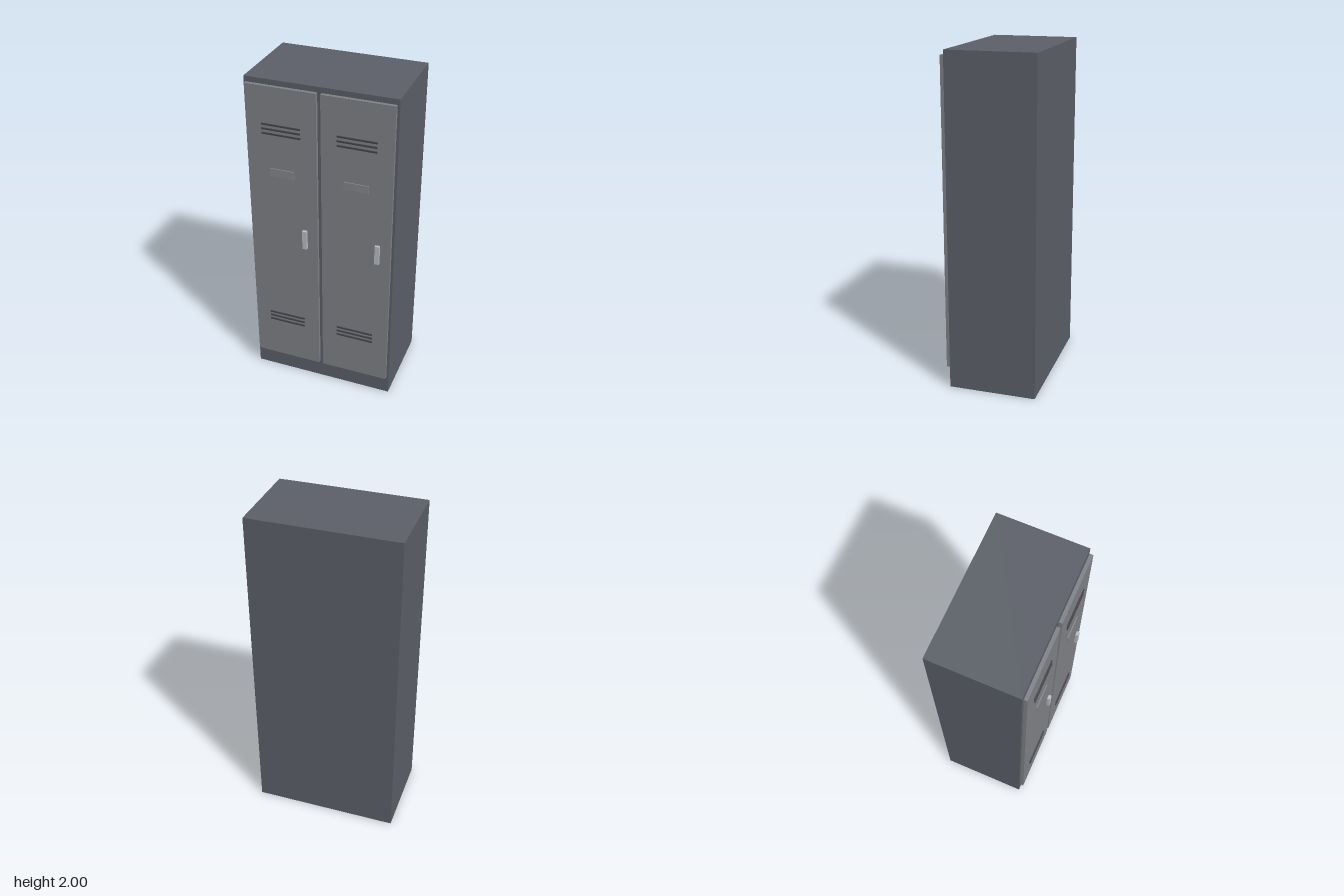
import * as THREE from 'three';

const paint = (color) => new THREE.MeshStandardMaterial({ color });
const bodyPaint = paint(0x5c6068);
const doorPaint = paint(0x808286);
const labelPaint = paint(0x85878a);
const slotPaint = paint(0x45424a);
const handlePaint = paint(0xb8bcc2);

// Box given by its centre in x and y and its back and front in z
function box(name, material, width, height, x, y, back, front) {
  const mesh = new THREE.Mesh(new THREE.BoxGeometry(width, height, front - back), material);
  mesh.position.set(x, y, (back + front) / 2);
  mesh.name = name;
  return mesh;
}

function createDoor(name, x) {
  const door = new THREE.Group();
  door.name = name;
  door.position.x = x;
  door.add(box('doorPanel', doorPaint, 0.416, 1.848, 0, 1.046, 0.244, 0.265));

  // Three vent slots near the top and three near the bottom
  for (const middle of [1.719, 0.423]) {
    for (const step of [-1, 0, 1]) {
      door.add(box('ventSlot', slotPaint, 0.229, 0.009, 0, middle + step * 0.0275, 0.262, 0.272));
    }
  }

  door.add(box('labelHolder', labelPaint, 0.145, 0.048, 0, 1.453, 0.262, 0.271));
  door.add(box('handle', handlePaint, 0.027, 0.12, 0.132, 1.045, 0.264, 0.283));
  return door;
}

export function createModel() {
  const locker = new THREE.Group();
  locker.name = 'locker';
  locker.add(box('cabinet', bodyPaint, 0.882, 2, 0, 1, -0.285, 0.24));
  locker.add(createDoor('rightDoor', -0.221));
  locker.add(createDoor('leftDoor', 0.22));
  return locker;
}
